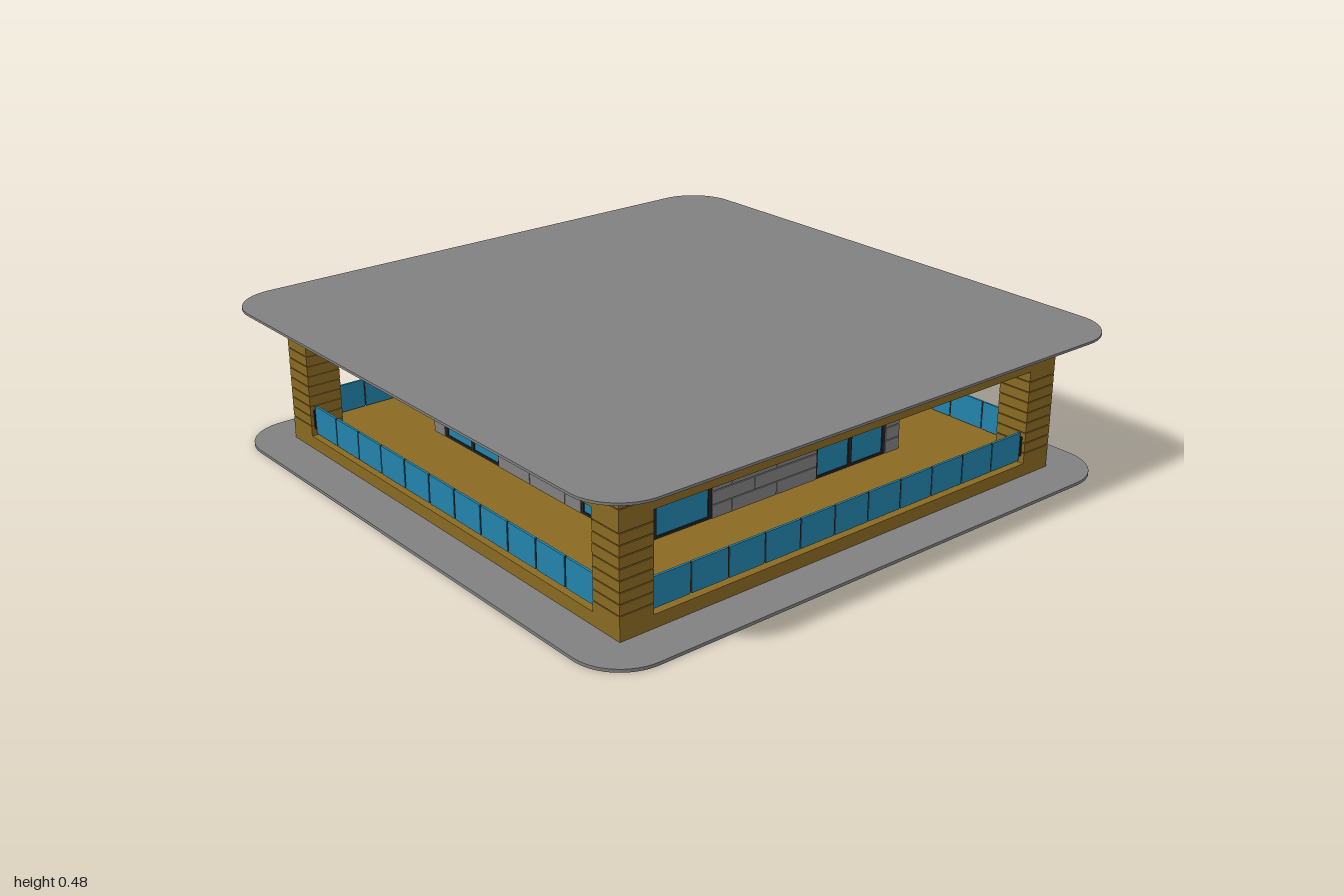
import * as THREE from 'three';
import { mergeGeometries } from 'three/addons/utils/BufferGeometryUtils.js';

const mat = (color) => new THREE.MeshStandardMaterial({ color });
const grey = mat(0x808080), wood = mat(0x8a6a22), dark = mat(0x222222), glass = mat(0x2384ad), gold = mat(0xb08a28);

// Box given by its limits on each axis
function box(x0, x1, y0, y1, z0, z1) {
  return new THREE.BoxGeometry(x1 - x0, y1 - y0, z1 - z0)
    .translate((x0 + x1) / 2, (y0 + y1) / 2, (z0 + z1) / 2);
}

function part(name, geometries, material) {
  const mesh = new THREE.Mesh(mergeGeometries(geometries), material);
  mesh.name = name;
  return mesh;
}

// Thin horizontal plate with rounded corners
function plate(name, y, thickness) {
  const r = 0.16, c = 1 - r, s = new THREE.Shape();
  s.absarc(c, c, r, 0, Math.PI / 2);
  s.absarc(-c, c, r, Math.PI / 2, Math.PI);
  s.absarc(-c, -c, r, Math.PI, Math.PI * 1.5);
  s.absarc(c, -c, r, Math.PI * 1.5, Math.PI * 2);
  const g = new THREE.ExtrudeGeometry(s, { depth: thickness, bevelEnabled: false, curveSegments: 10 });
  return part(name, [g.rotateX(-Math.PI / 2).translate(0, y, 0)], grey);
}

// Stack of planks with shallow grooves between them
function planks(x0, x1, y0, y1, z0, z1, count) {
  const inset = 0.004, gap = 0.0015, h = (y1 - y0) / count;
  const out = [box(x0 + inset, x1 - inset, y0, y1, z0 + inset, z1 - inset)];
  for (let i = 0; i < count; i++)
    out.push(box(x0, x1, y0 + i * h + (i ? gap : 0), y0 + (i + 1) * h - (i < count - 1 ? gap : 0), z0, z1));
  return out;
}

const FLOOR = 0.052, CEIL = 0.36, CORE = 0.53, HEAD = 0.31;

// One facade: u runs along the wall, d points outwards.
// swap = false faces +z, swap = true faces +x (mirrored on the diagonal).
function facade(swap) {
  const group = new THREE.Group();
  group.name = swap ? 'sideFacade' : 'mainFacade';
  const b = (u0, u1, y0, y1, d0, d1) => swap ? box(d0, d1, y0, y1, u0, u1) : box(u0, u1, y0, y1, d0, d1);

  // Staggered stone blocks around the window openings
  const blocks = [], rows = 7, h = (CEIL - FLOOR) / rows;
  for (let i = 0; i < rows; i++) {
    const y0 = FLOOR + i * h, top = i === rows - 1;
    const runs = top ? [[-CORE, CORE]] : [[-CORE, -0.47], [-0.165, 0.255]];
    for (const [start, end] of runs) {
      let u = start;
      let next = Math.ceil((start + 0.01) / 0.18) * 0.18 + (i % 2 ? 0.09 : 0);
      while (u < end - 0.001) {
        const stop = Math.min(next, end);
        blocks.push(b(u, stop - (stop < end ? 0.003 : 0), y0, y0 + h - 0.003, CORE - 0.02, CORE));
        u = stop;
        next += 0.18;
      }
    }
  }
  group.add(part('stoneWall', blocks, grey));

  // Window panes in dark frames
  const panes = [], frames = [];
  for (const [u0, u1] of [[-0.455, -0.32], [-0.305, -0.172], [0.268, 0.465]]) {
    panes.push(b(u0, u1, FLOOR + 0.008, HEAD - 0.01, CORE - 0.02, CORE - 0.006));
    frames.push(b(u0 - 0.013, u0, FLOOR, HEAD, CORE - 0.02, CORE - 0.002));
    frames.push(b(u1, u1 + 0.01, FLOOR, HEAD, CORE - 0.02, CORE - 0.002));
    frames.push(b(u0, u1, HEAD - 0.01, HEAD, CORE - 0.02, CORE - 0.002));
    frames.push(b(u0, u1, FLOOR, FLOOR + 0.008, CORE - 0.02, CORE - 0.002));
  }
  group.add(part('windowPanes', panes, glass), part('windowFrames', frames, dark));

  // Wall lamps
  const holders = [], bulbs = [];
  for (const u of [-0.51, -0.12, 0.21]) {
    holders.push(b(u - 0.006, u + 0.006, 0.205, 0.235, CORE, CORE + 0.006));
    holders.push(b(u - 0.009, u + 0.009, 0.228, 0.235, CORE, CORE + 0.018));
    holders.push(b(u - 0.009, u + 0.009, 0.205, 0.21, CORE, CORE + 0.016));
    bulbs.push(b(u - 0.006, u + 0.006, 0.21, 0.228, CORE + 0.004, CORE + 0.014));
  }
  group.add(part('lampHolders', holders, dark), part('lampBulbs', bulbs, gold));

  // Balcony railing: eleven glass panels with clips at both ends
  const panels = [], n = 11, w = 1.48 / n;
  for (let i = 0; i < n; i++) {
    const u = -0.74 + i * w;
    panels.push(b(u + 0.003, u + w - 0.003, 0.06, 0.155, 0.838, 0.846));
  }
  const clips = [];
  for (const u of [-0.742, 0.742]) clips.push(b(u - 0.004, u + 0.004, 0.075, 0.14, 0.835, 0.849));
  for (let i = 1; i < n; i++) {
    const u = -0.74 + i * w;
    clips.push(b(u - 0.003, u + 0.003, 0.062, 0.153, 0.84, 0.844));
  }
  group.add(part('railingPanels', panels, glass), part('railingClips', clips, dark));
  return group;
}

export function createModel() {
  const model = new THREE.Group();
  model.name = 'buildingStorey';

  // Base, roof and the dark joint under the roof
  model.add(plate('basePlate', 0, 0.01), plate('roofPlate', 0.47, 0.008));
  model.add(part('roofJoint', [box(-0.875, 0.875, 0.462, 0.47, -0.875, 0.875)], dark));

  // Timber floor, ceiling and corner posts
  const S = 0.86, P = 0.745;
  model.add(part('floorSlab', planks(-S, S, 0.01, FLOOR, -S, S, 1), wood));
  model.add(part('ceilingSlab', planks(-S, S, CEIL, 0.462, -S, S, 3), wood));
  const posts = [];
  for (const x of [-S, P])
    for (const z of [-S, P]) posts.push(...planks(x, x + S - P, FLOOR, CEIL, z, z + S - P, 9));
  model.add(part('cornerPosts', posts, wood));

  // Inner core behind the stone and the windows
  const c = CORE - 0.012;
  model.add(part('coreBacking', [box(-c, c, FLOOR, CEIL, -c, c)], dark));

  // Two facades with their shared dark corner post, repeated by a half turn
  for (const angle of [0, Math.PI]) {
    const half = new THREE.Group();
    half.name = angle ? 'backHalf' : 'frontHalf';
    half.add(facade(false), facade(true));
    half.add(part('darkCornerPost', [box(0.475, 0.527, FLOOR, HEAD + 0.006, 0.475, 0.527)], dark));
    half.rotation.y = angle;
    model.add(half);
  }
  return model;
}
